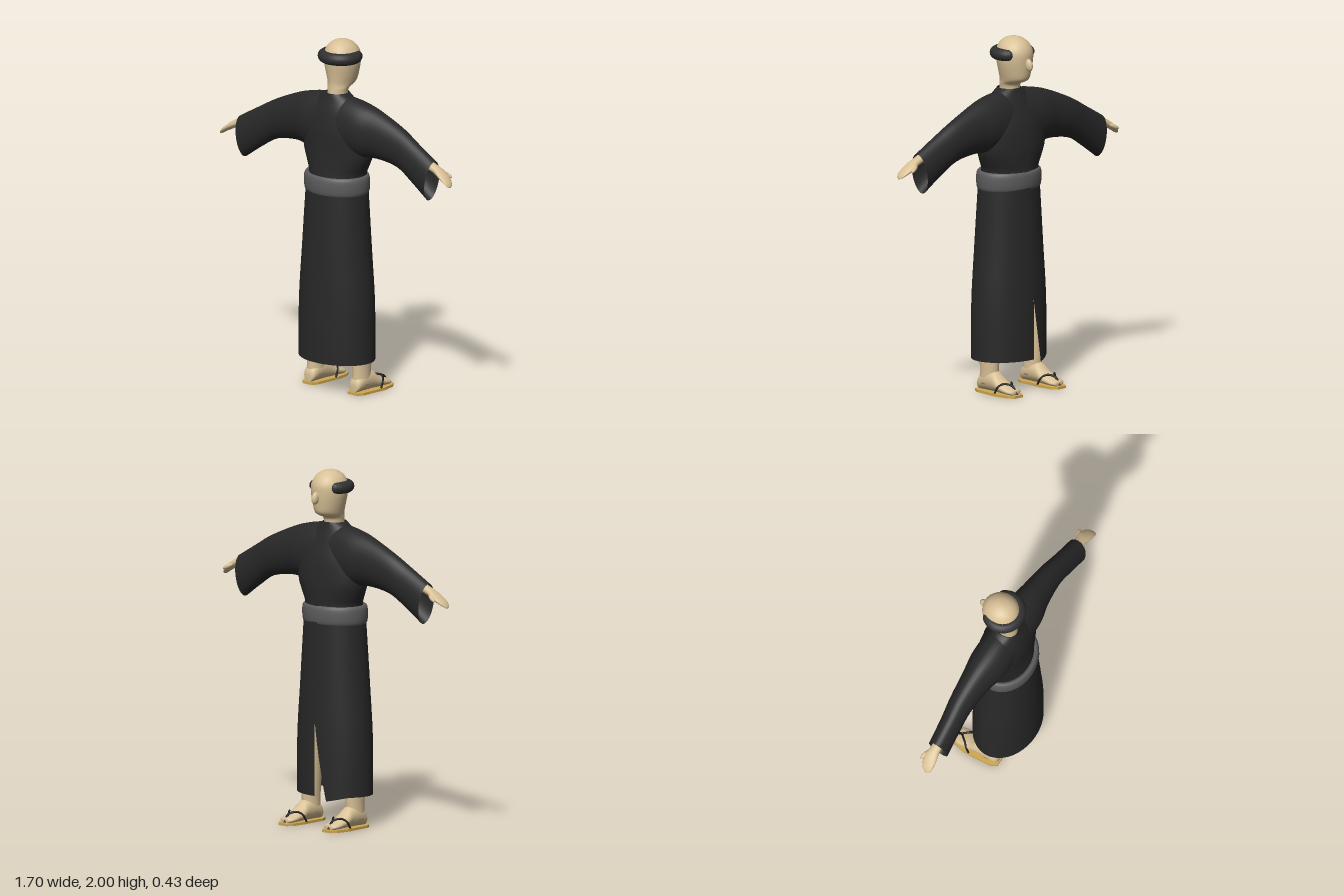
import * as THREE from 'three';

const material = (color) => new THREE.MeshStandardMaterial({ color, side: THREE.DoubleSide });
const V = (x, y, z) => new THREE.Vector3(x, y, z);

// Catmull-Rom interpolation of rows of numbers
function smooth(rows, steps = 4) {
  const out = [];
  for (let i = 0; i < rows.length - 1; i++) {
    const p0 = rows[Math.max(i - 1, 0)], p1 = rows[i], p2 = rows[i + 1];
    const p3 = rows[Math.min(i + 2, rows.length - 1)];
    for (let s = 0; s < steps; s++) {
      const t = s / steps;
      out.push(p1.map((v, k) => v + 0.5 * t * (p2[k] - p0[k] +
        t * (2 * p0[k] - 5 * v + 4 * p2[k] - p3[k] + t * (3 * (v - p2[k]) + p3[k] - p0[k])))));
    }
  }
  out.push(rows[rows.length - 1]);
  return out;
}

// Skin a list of rings; each ring runs counter-clockwise about the loft direction
function loft(rings, { closed = true, caps = false } = {}) {
  if (caps) {
    const centre = (r) => {
      const c = r.reduce((a, p) => a.add(p), V(0, 0, 0)).divideScalar(r.length);
      return r.map(() => c.clone());
    };
    rings = [centre(rings[0]), ...rings, centre(rings[rings.length - 1])];
  }
  const n = rings[0].length, index = [];
  for (let i = 0; i < rings.length - 1; i++) {
    for (let j = 0; j < (closed ? n : n - 1); j++) {
      const k = (j + 1) % n, a = i * n + j, b = i * n + k;
      index.push(a, b, b + n, a, b + n, a + n);
    }
  }
  const geometry = new THREE.BufferGeometry().setFromPoints(rings.flat());
  geometry.setIndex(index);
  geometry.computeVertexNormals();
  return geometry;
}

function ring(fn, n = 32) {
  return Array.from({ length: n }, (_, j) => fn((j / n) * Math.PI * 2));
}

// Upright form from rows of [y, half width, back z, front z]
function upright(rows, caps = true) {
  return loft(smooth(rows).map(([y, rx, zb, zf]) =>
    ring((t) => V(rx * Math.sin(t), y, (zb + zf) / 2 + ((zb - zf) / 2) * Math.cos(t)))), { caps });
}

// Wrapped cloth with one edge lapping over the other at the front (-z)
function wrapped(rows, slit, lap, n = 56) {
  const top = rows[rows.length - 1][0], height = top - rows[0][0];
  return loft(smooth(rows).map(([y, rx, zb, zf]) => {
    const down = (top - y) / height;
    return Array.from({ length: n + 1 }, (_, j) => {
      const u = j / n;
      const start = -0.02 + slit * down * down;
      const t = Math.PI + (start + u * (1.01 - start)) * Math.PI * 2;
      const out = 1 + lap * Math.max(0, (u - 0.8) / 0.2);
      const hang = slit ? 0.025 * down * Math.max(0, 1 - u * 10) : 0;
      return V(out * rx * Math.sin(t), y - hang,
        (zb + zf) / 2 + out * ((zb - zf) / 2) * Math.cos(t));
    });
  }), { closed: false });
}

export function createModel() {
  const model = new THREE.Group();
  const skin = material(0xd8c096), cloth = material(0x282828), sashGrey = material(0x5c5c5c);
  const hairDark = material(0x303030), straw = material(0xcfa850), strapDark = material(0x1c1c1c);
  const add = (name, geometry, mat, parent = model) => {
    const mesh = new THREE.Mesh(geometry, mat);
    mesh.name = name;
    parent.add(mesh);
    return mesh;
  };

  // Head and neck
  add('head', upright([
    [1.64, 0.058, 0.09, -0.03], [1.7, 0.056, 0.086, -0.03], [1.73, 0.061, 0.083, -0.038],
    [1.745, 0.066, 0.082, -0.075], [1.765, 0.073, 0.082, -0.102], [1.81, 0.086, 0.087, -0.112],
    [1.87, 0.099, 0.095, -0.118], [1.92, 0.099, 0.096, -0.116], [1.96, 0.08, 0.08, -0.095],
    [1.985, 0.052, 0.052, -0.063], [1.996, 0.026, 0.022, -0.035], [2.0, 0.003, -0.003, -0.009],
  ]), skin);
  const nose = add('nose', new THREE.SphereGeometry(1, 20, 14), skin);
  nose.scale.set(0.018, 0.036, 0.026);
  nose.position.set(0, 1.85, -0.123);
  nose.rotation.x = 0.3;

  // Hair band round the back of the head, open over the face
  const arc = Array.from({ length: 17 }, (_, i) => {
    const a = (-0.7 + (1.4 * i) / 16) * Math.PI;
    return V(0.094 * Math.sin(a), 1.905, 0.008 + 0.087 * Math.cos(a));
  });
  const hair = new THREE.Group();
  hair.name = 'hair';
  model.add(hair);
  add('hairBand', new THREE.TubeGeometry(new THREE.CatmullRomCurve3(arc), 48, 0.034, 16), hairDark, hair);
  for (const p of [arc[0], arc[16]]) {
    add('hairEnd', new THREE.SphereGeometry(0.034, 16, 12), hairDark, hair).position.copy(p);
  }

  // Robe body with the front overlap
  add('robeBody', wrapped([
    [1.17, 0.175, 0.172, -0.115], [1.25, 0.178, 0.163, -0.11], [1.3, 0.2, 0.158, -0.112],
    [1.38, 0.232, 0.152, -0.113], [1.5, 0.232, 0.15, -0.1], [1.6, 0.19, 0.132, -0.068],
    [1.67, 0.12, 0.108, -0.042], [1.705, 0.065, 0.098, -0.032],
  ], 0, 0.04), cloth);

  // Both sleeves in one sweep: [x at top, top y, x at bottom, bottom y, centre z, half depth]
  const half = [
    [0.1, 1.69, 0.1, 1.35, 0.028, 0.108], [0.2, 1.672, 0.2, 1.36, 0.025, 0.105],
    [0.3, 1.642, 0.3, 1.37, 0.02, 0.085], [0.46, 1.575, 0.45, 1.347, 0.017, 0.068],
    [0.58, 1.51, 0.56, 1.285, 0.024, 0.062], [0.72, 1.432, 0.68, 1.203, 0.03, 0.06],
  ];
  const mirrored = half.map(([a, b, c, ...r]) => [-a, b, -c, ...r]).reverse();
  const sleeveRows = smooth([...mirrored, [0, 1.693, 0, 1.35, 0.03, 0.105], ...half]);
  add('sleeves', loft(sleeveRows.map(([xt, yt, xb, yb, zc, rz]) => ring((t) => {
    const w = (1 + Math.cos(t)) / 2;
    return V(xb + (xt - xb) * w, yb + (yt - yb) * w, zc + rz * Math.sin(t));
  }))), cloth);

  // Skirt, split at the front
  add('skirt', wrapped([
    [0.18, 0.236, 0.213, -0.143], [0.5, 0.234, 0.212, -0.142], [0.8, 0.212, 0.204, -0.134],
    [1.1, 0.192, 0.19, -0.122], [1.2, 0.184, 0.184, -0.118],
  ], 0.08, 0.03), cloth);

  // Sash: padded band closed on the inside
  add('sash', upright([
    [1.15, 0.15, 0.15, -0.09], [1.133, 0.175, 0.172, -0.1], [1.145, 0.195, 0.19, -0.122],
    [1.19, 0.2, 0.196, -0.128], [1.232, 0.196, 0.192, -0.124], [1.244, 0.178, 0.176, -0.108],
    [1.22, 0.15, 0.15, -0.09],
  ], false), sashGrey);

  for (const side of [1, -1]) {
    const limbs = new THREE.Group();
    limbs.name = side > 0 ? 'leftLimbs' : 'rightLimbs';
    limbs.scale.x = side;
    model.add(limbs);

    // Forearm and hand: [x, y, z, half height, half depth]
    add('hand', loft(smooth([
      [0.58, 1.44, 0.03, 0.03, 0.03], [0.7, 1.402, 0.03, 0.025, 0.03],
      [0.74, 1.386, 0.03, 0.024, 0.031], [0.78, 1.365, 0.03, 0.022, 0.04],
      [0.82, 1.339, 0.038, 0.016, 0.034], [0.84, 1.322, 0.043, 0.011, 0.024],
      [0.849, 1.312, 0.045, 0.004, 0.01],
    ]).map(([x, y, z, ry, rz]) =>
      ring((t) => V(x, y + ry * Math.cos(t), z + rz * Math.sin(t)), 20)), { caps: true }), skin, limbs);
    const thumb = add('thumb', new THREE.SphereGeometry(1, 16, 12), skin, limbs);
    thumb.scale.set(0.034, 0.012, 0.012);
    thumb.position.set(0.78, 1.362, -0.008);
    thumb.rotation.set(0, 0.3, -0.45);

    const leg = new THREE.Group();
    leg.name = 'leg';
    leg.position.x = 0.168;
    limbs.add(leg);
    add('shin', upright([
      [0.05, 0.046, 0.08, -0.04], [0.12, 0.045, 0.078, -0.042], [0.2, 0.048, 0.08, -0.045],
      [0.4, 0.055, 0.09, -0.045], [0.7, 0.05, 0.085, -0.04],
    ]), skin, leg);

    // Foot from heel to toe: [z, half width, top y]
    add('foot', loft(smooth([
      [0.088, 0.02, 0.06], [0.075, 0.038, 0.09], [0.03, 0.046, 0.13], [-0.04, 0.048, 0.125],
      [-0.09, 0.052, 0.085], [-0.15, 0.053, 0.056], [-0.18, 0.045, 0.046], [-0.195, 0.025, 0.036],
    ]).map(([z, w, top]) => ring((t) =>
      V(w * Math.sin(t), (top + 0.01) / 2 + ((top - 0.01) / 2) * Math.cos(t), z), 24)),
    { caps: true }), skin, leg);

    // Sandal sole and straps
    const outline = [[-0.035, -0.095], [0.035, -0.095], [0.055, -0.06], [0.068, 0.1],
      [0.055, 0.18], [0.03, 0.215], [-0.03, 0.215], [-0.055, 0.18], [-0.062, 0.1], [-0.052, -0.06]];
    const sole = new THREE.ExtrudeGeometry(
      new THREE.Shape(outline.map(([x, y]) => new THREE.Vector2(x, y))),
      { depth: 0.014, bevelEnabled: false });
    add('sandalSole', sole.rotateX(-Math.PI / 2), straw, leg);
    for (const s of [1, -1]) {
      const path = new THREE.CatmullRomCurve3([V(0, 0.014, -0.198), V(0, 0.058, -0.165),
        V(s * 0.03, 0.07, -0.125), V(s * 0.052, 0.05, -0.1), V(s * 0.058, 0.012, -0.08)]);
      add('sandalStrap', new THREE.TubeGeometry(path, 24, 0.006, 8), strapDark, leg);
    }
  }
  return model;
}
